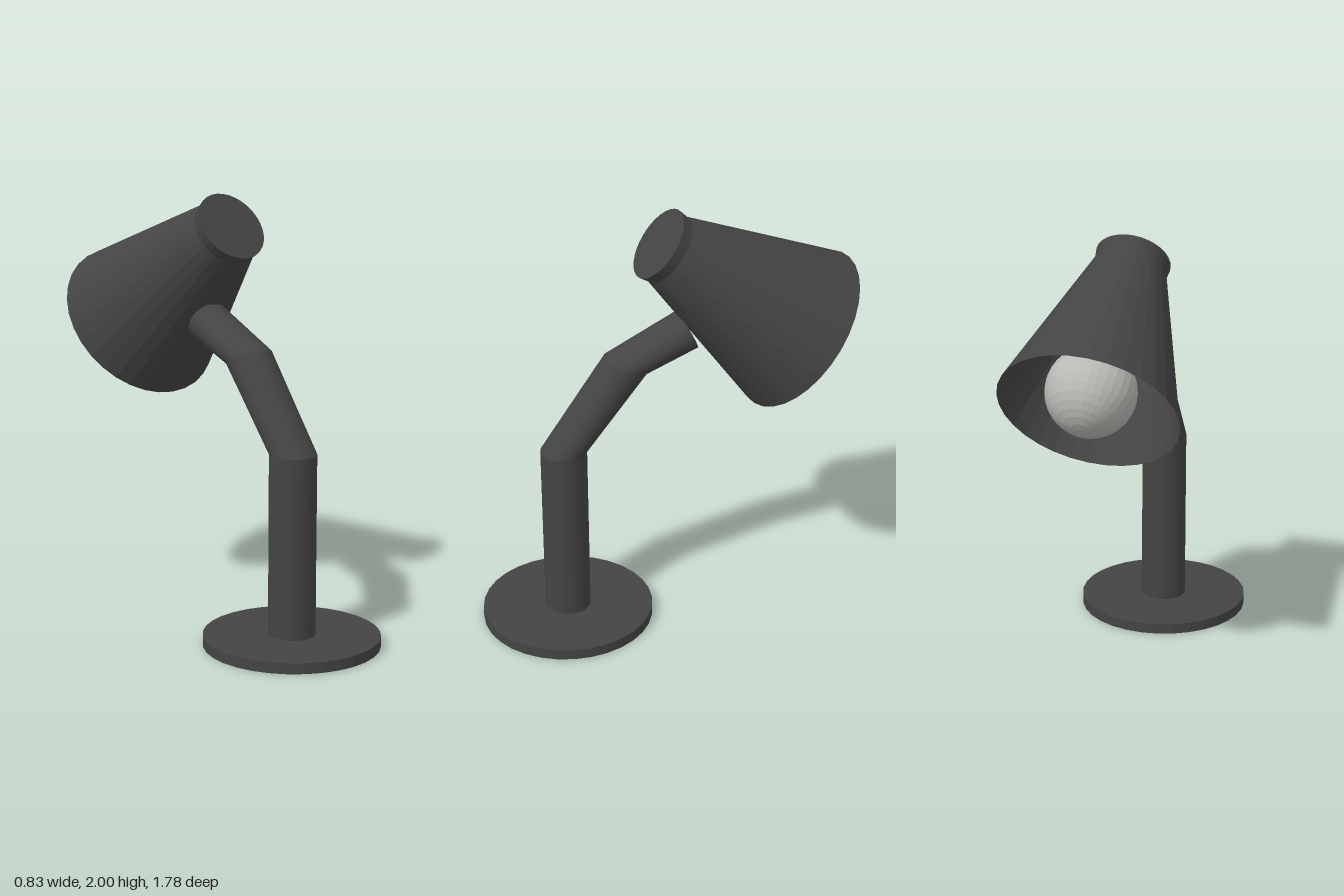
import * as THREE from 'three';

const SIDES = 32;

// Lofts a round tube through mitred rings: [z, y, half-width in z, half-width in y]
function mitredTube(rings, radius) {
  const pos = [], idx = [];
  for (const [z, y, hz, hy] of rings) {
    for (let i = 0; i < SIDES; i++) {
      const a = (i / SIDES) * Math.PI * 2;
      pos.push(radius * Math.cos(a), y + hy * Math.sin(a), z + hz * Math.sin(a));
    }
  }
  for (let r = 0; r < rings.length - 1; r++) {
    for (let i = 0; i < SIDES; i++) {
      const j = (i + 1) % SIDES;
      const b0 = r * SIDES + i, b1 = r * SIDES + j;
      idx.push(b0, b0 + SIDES, b1, b1, b0 + SIDES, b1 + SIDES);
    }
  }
  // Cap on the far end
  const last = rings.length - 1, base = last * SIDES;
  const centre = pos.length / 3;
  pos.push(0, rings[last][1], rings[last][0]);
  for (let i = 0; i < SIDES; i++) idx.push(centre, base + (i + 1) % SIDES, base + i);

  const geo = new THREE.BufferGeometry();
  geo.setAttribute('position', new THREE.Float32BufferAttribute(pos, 3));
  geo.setIndex(idx);
  geo.computeVertexNormals();
  return geo;
}

export function createModel() {
  const charcoal = new THREE.MeshStandardMaterial({
    name: 'charcoal', color: 0x444444, flatShading: true, side: THREE.DoubleSide,
  });
  const bulbGrey = new THREE.MeshStandardMaterial({
    name: 'bulbGrey', color: 0xb8b8b4, flatShading: true,
  });

  const model = new THREE.Group();
  model.name = 'deskLamp';
  const add = (parent, name, geo, mat, x, y, z) => {
    const mesh = new THREE.Mesh(geo, mat);
    mesh.name = name;
    mesh.position.set(x, y, z);
    parent.add(mesh);
    return mesh;
  };

  // Round foot
  add(model, 'base', new THREE.CylinderGeometry(0.405, 0.405, 0.05, SIDES), charcoal, -0.015, 0.025, 0.485);

  // Bent arm, its end buried in the shade
  const arm = mitredTube([
    [0.485, 0.04, 0.108, 0],
    [0.485, 0.885, 0.108, 0],
    [0.183, 1.283, 0.098, 0.043],
    [-0.11, 1.415, 0.04, 0.085],
  ], 0.108);
  add(model, 'arm', arm, charcoal, -0.015, 0, 0);

  // Tilted head; its local +y runs from the opening to the closed cap
  const head = new THREE.Group();
  head.name = 'head';
  head.position.set(0.01, 1.355, -0.645);
  head.rotation.x = Math.atan2(0.8, 0.6);
  model.add(head);

  const profile = [[0.404, 0], [0.166, 0.793], [0.173, 0.848], [0, 0.848]]
    .map(([r, y]) => new THREE.Vector2(r, y));
  add(head, 'shade', new THREE.LatheGeometry(profile, SIDES), charcoal, 0, 0, 0);

  // Bulb with its smaller rounded neck
  add(head, 'bulb', new THREE.SphereGeometry(0.2, SIDES, 16), bulbGrey, 0, 0.084, -0.035);
  add(head, 'bulbNeck', new THREE.SphereGeometry(0.1, SIDES, 16), bulbGrey, 0, 0.36, -0.03);

  return model;
}
